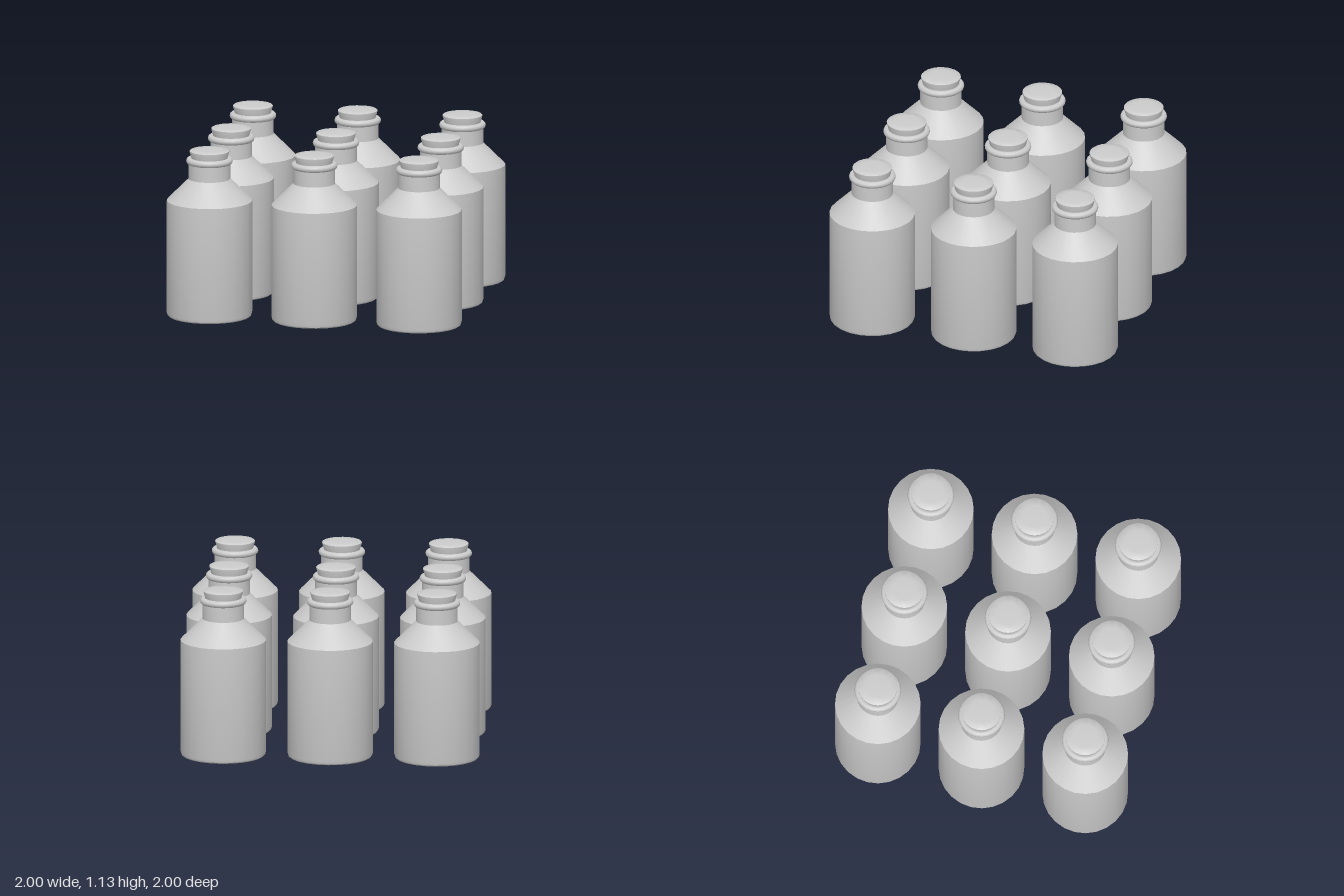
import * as THREE from 'three';
import { toCreasedNormals } from 'three/addons/utils/BufferGeometryUtils.js';

const SIDES = 24;
const SPACING = 0.714;

// Turned shape from [radius, height] pairs, bottom to top, with sharp rims
function turned(profile, crease) {
  const points = profile.map(([r, y]) => new THREE.Vector2(r, y));
  return toCreasedNormals(new THREE.LatheGeometry(points, SIDES), crease);
}

export function createModel() {
  const model = new THREE.Group();
  model.name = 'bottles';
  const material = new THREE.MeshStandardMaterial({ color: 0xcccccc });

  // Body with bevelled foot, sloped shoulder and straight neck
  const bodyGeometry = turned([
    [0, 0], [0.272, 0], [0.281, 0.008], [0.286, 0.025], [0.286, 0.788],
    [0.139, 0.935], [0.139, 1.07], [0, 1.07],
  ], 0.45);

  // Rounded ring around the mouth
  const lipGeometry = new THREE.TorusGeometry(0.133, 0.023, 12, SIDES);
  lipGeometry.rotateX(Math.PI / 2);
  lipGeometry.translate(0, 1.057, 0);

  // Tapered stopper with a softly rounded top
  const stopperGeometry = turned([
    [0, 1.05], [0.114, 1.05], [0.133, 1.118], [0.133, 1.124],
    [0.127, 1.129], [0.08, 1.132], [0, 1.133],
  ], 0.75);

  const parts = { body: bodyGeometry, lip: lipGeometry, stopper: stopperGeometry };

  // Three by three grid of bottles
  for (let row = -1; row <= 1; row++) {
    for (let column = -1; column <= 1; column++) {
      const bottle = new THREE.Group();
      bottle.name = 'bottle';
      for (const [name, geometry] of Object.entries(parts)) {
        const mesh = new THREE.Mesh(geometry, material);
        mesh.name = name;
        bottle.add(mesh);
      }
      bottle.position.set(column * SPACING, 0, row * SPACING);
      model.add(bottle);
    }
  }
  return model;
}
